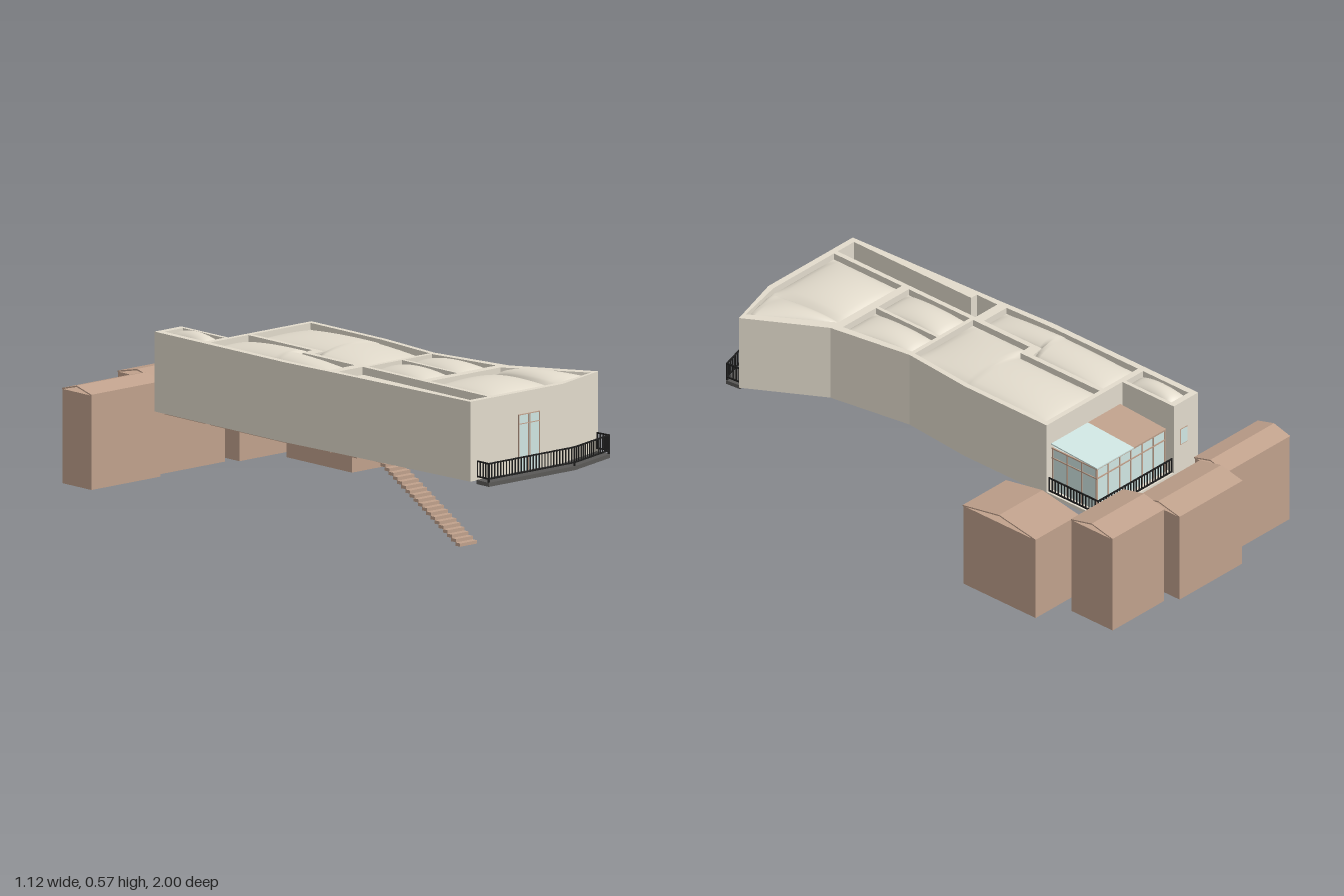
import * as THREE from 'three';

const mat = (name, color) => Object.assign(new THREE.MeshStandardMaterial({ color }), { name });

export function createModel() {
  const model = new THREE.Group();
  model.name = 'house';
  const cream = mat('cream plaster', 0xe2dbcc);
  const brown = mat('warm brown', 0xc0a18c);
  brown.side = THREE.DoubleSide;
  const glass = mat('pale glass', 0xd0e6e3);
  const grey = mat('dark grey', 0x5a5957);
  const black = mat('railing black', 0x1d1d1d);

  const add = (name, geo, material, parent = model) => {
    const m = new THREE.Mesh(geo, material);
    m.name = name;
    parent.add(m);
    return m;
  };
  const group = (name) => {
    const g = new THREE.Group();
    g.name = name;
    model.add(g);
    return g;
  };
  // box from its min and max corners
  const box = (name, a, b, material, parent) => {
    const g = new THREE.BoxGeometry(b[0] - a[0], b[1] - a[1], b[2] - a[2]);
    g.translate((a[0] + b[0]) / 2, (a[1] + b[1]) / 2, (a[2] + b[2]) / 2);
    return add(name, g, material, parent);
  };
  // plan outline [x, z] raised from y0 to y1, with optional holes; outline counter-clockwise, holes clockwise
  const toVec = (pts, clockwise) => {
    const v = pts.map(([x, z]) => new THREE.Vector2(x, -z));
    return THREE.ShapeUtils.isClockWise(v) === clockwise ? v : v.reverse();
  };
  const slab = (name, pts, y0, y1, material, holes = []) => {
    const s = new THREE.Shape(toVec(pts, false));
    s.holes = holes.map((h) => new THREE.Path(toVec(h, true)));
    const g = new THREE.ExtrudeGeometry(s, { depth: y1 - y0, bevelEnabled: false });
    g.rotateX(-Math.PI / 2);
    g.translate(0, y0, 0);
    return add(name, g, material);
  };

  // outer walls and room openings
  const outline = [[-0.31, -0.7], [-0.18, -0.7], [-0.18, -0.45], [0.224, -0.45], [0.224, -0.05], [0.198, 0.24],
    [0.253, 0.575], [0.424, 0.864], [0.19, 0.934], [-0.26, 0.934], [-0.295, 0.24], [-0.31, 0]];
  const rooms = [
    [[-0.285, -0.675], [-0.195, -0.675], [-0.195, -0.455], [-0.285, -0.455]],
    [[-0.285, -0.43], [-0.1, -0.43], [-0.1, -0.09], [-0.155, -0.08], [-0.155, 0.2], [-0.275, 0.2], [-0.285, 0]],
    [[-0.08, -0.43], [0.203, -0.43], [0.203, -0.05], [0.178, 0.233], [-0.133, 0.233], [-0.133, -0.04], [-0.08, -0.045]],
    [[-0.133, 0.25], [0.028, 0.25], [0.028, 0.546], [-0.133, 0.546]],
    [[0.042, 0.25], [0.175, 0.25], [0.218, 0.546], [0.042, 0.546]],
    [[-0.133, 0.58], [0.207, 0.58], [0.388, 0.863], [0.19, 0.91], [-0.133, 0.91]],
  ];
  const stairwell = [[-0.27, 0.24], [-0.153, 0.24], [-0.153, 0.91], [-0.24, 0.91], [-0.24, 0.34], [-0.27, 0.34]];
  slab('walls', outline, 0.263, 0.557, cream, [...rooms, stairwell]);
  rooms.forEach((r) => slab('floor', r, 0.253, 0.268, brown));
  slab('landing', [[-0.27, 0.24], [-0.153, 0.24], [-0.153, 0.39], [-0.24, 0.39], [-0.24, 0.34], [-0.27, 0.34]],
    0.253, 0.268, brown);

  // domed roof lofted over rows [z, left x, right x]
  const pillow = (rows) => {
    const pos = [], idx = [], n = 16, z0 = rows[0][0], z1 = rows[rows.length - 1][0];
    const bulge = (t) => Math.pow(Math.max(0, 1 - (2 * t - 1) ** 2), 0.6);
    const lines = [];
    for (let i = 0; i + 1 < rows.length; i++) {
      const steps = Math.max(1, Math.ceil((rows[i + 1][0] - rows[i][0]) / 0.02));
      for (let k = i ? 1 : 0; k <= steps; k++) {
        lines.push(rows[i].map((a, j) => a + (rows[i + 1][j] - a) * (k / steps)));
      }
    }
    lines.forEach(([z, xl, xr], r) => {
      for (let j = 0; j <= n; j++) {
        const u = j / n;
        pos.push(xl + (xr - xl) * u, 0.532 + 0.037 * bulge(u) * bulge((z - z0) / (z1 - z0)), z);
        if (r && j) {
          const d = r * (n + 1) + j, b = d - n - 1;
          idx.push(b - 1, d - 1, d, b - 1, d, b);
        }
      }
    });
    const g = new THREE.BufferGeometry();
    g.setAttribute('position', new THREE.Float32BufferAttribute(pos, 3));
    g.setIndex(idx);
    g.computeVertexNormals();
    add('roofDome', g, cream);
  };
  [
    [[-0.675, -0.285, -0.195], [-0.455, -0.285, -0.195]],
    [[-0.43, -0.285, -0.1], [-0.09, -0.285, -0.1], [-0.08, -0.285, -0.155], [0.2, -0.275, -0.155]],
    [[-0.43, -0.08, 0.203], [-0.045, -0.08, 0.203], [-0.04, -0.133, 0.201], [0.233, -0.133, 0.178]],
    [[0.25, -0.133, 0.028], [0.546, -0.133, 0.028]],
    [[0.25, 0.042, 0.175], [0.546, 0.042, 0.218]],
    [[0.58, -0.133, 0.182], [0.91, -0.133, 0.19]],
    [[0.58, 0.182, 0.207], [0.863, 0.189, 0.388], [0.91, 0.19, 0.2]],
  ].forEach(pillow);

  // open stair
  const stairs = group('stairs');
  const steps = 20;
  for (let i = 0; i < steps; i++) {
    const t = i / (steps - 1), z = 0.415 + 0.423 * t, y = 0.252 - 0.24 * t;
    box('tread', [-0.234, y - 0.006, z - 0.013], [-0.152, y + 0.006, z + 0.013], brown, stairs);
  }

  // railing along a plan path
  const railing = (name, path, y0, y1, gap) => {
    const g = group(name);
    for (let i = 0; i + 1 < path.length; i++) {
      const [ax, az] = path[i], [bx, bz] = path[i + 1];
      const len = Math.hypot(bx - ax, bz - az), n = Math.round(len / gap);
      [y0 + 0.003, y1 - 0.003].forEach((y) => {
        const rail = add('rail', new THREE.BoxGeometry(len, 0.005, 0.005), black, g);
        rail.position.set((ax + bx) / 2, y, (az + bz) / 2);
        rail.rotation.y = -Math.atan2(bz - az, bx - ax);
      });
      for (let k = 0; k <= n; k++) {
        const bar = add('baluster', new THREE.BoxGeometry(0.0035, y1 - y0, 0.0035), black, g);
        bar.position.set(ax + (bx - ax) * k / n, (y0 + y1) / 2, az + (bz - az) * k / n);
      }
    }
  };

  // front balcony
  slab('balconyFloor', [[-0.23, 0.934], [0.19, 0.934], [0.413, 0.867], [0.42, 0.932], [0.19, 1], [-0.23, 1]],
    0.25, 0.265, grey);
  railing('balconyRailing', [[-0.227, 0.936], [-0.227, 0.996], [0.19, 0.996], [0.416, 0.93], [0.411, 0.874]],
    0.275, 0.337, 0.0145);
  [[-0.227, 0.996], [0.19, 0.995], [0.415, 0.93]].forEach(([x, z]) =>
    box('railingPost', [x - 0.003, 0.265, z - 0.003], [x + 0.003, 0.337, z + 0.003], black));

  // front glass door
  const door = group('frontDoor');
  box('doorGlass', [-0.028, 0.266, 0.932], [0.075, 0.475, 0.936], glass, door);
  [-0.027, 0.0205, 0.0265, 0.074].forEach((x) =>
    box('doorStile', [x - 0.0015, 0.266, 0.933], [x + 0.0015, 0.475, 0.938], brown, door));
  [0.44, 0.474].forEach((y) => box('doorRail', [-0.028, y - 0.0015, 0.933], [0.075, y + 0.0015, 0.938], brown, door));

  // small back window
  box('backWindowFrame', [-0.252, 0.38, -0.702], [-0.212, 0.446, -0.698], brown);
  box('backWindowGlass', [-0.249, 0.383, -0.703], [-0.215, 0.443, -0.699], glass);

  // back terrace and glazed room
  box('terraceFloor', [-0.18, 0.263, -0.7], [0.224, 0.276, -0.45], cream);
  box('terraceUnderside', [-0.17, 0.253, -0.685], [0.208, 0.263, -0.455], brown);
  railing('terraceRailing', [[-0.177, -0.693], [0.216, -0.693], [0.216, -0.455]], 0.278, 0.337, 0.0145);
  const room = group('glazedRoom');
  box('roomGlass', [-0.165, 0.276, -0.668], [0.196, 0.45, -0.45], glass, room);
  for (let i = 0; i <= 6; i++) {
    const x = -0.165 + 0.361 * i / 6;
    box('backMullion', [x - 0.0025, 0.276, -0.671], [x + 0.0025, 0.452, -0.666], brown, room);
  }
  for (let i = 0; i <= 3; i++) {
    const z = -0.668 + 0.212 * i / 3;
    [-0.165, 0.196].forEach((x) =>
      box('sideMullion', [x - 0.003, 0.276, z - 0.0025], [x + 0.003, 0.452, z + 0.0025], brown, room));
  }
  [0.41, 0.45].forEach((y) => {
    box('backTransom', [-0.168, y - 0.0025, -0.671], [0.199, y + 0.0025, -0.666], brown, room);
    [-0.165, 0.196].forEach((x) =>
      box('sideTransom', [x - 0.003, y - 0.0025, -0.671], [x + 0.003, y + 0.0025, -0.45], brown, room));
  });
  // sloping roof, half solid and half glass
  [[-0.168, 0.004, brown, 'solidRoof'], [0.004, 0.2, glass, 'glassRoof']].forEach(([x0, x1, m, name]) => {
    const plate = add(name, new THREE.BoxGeometry(x1 - x0, 0.005, 0.224), m, room);
    plate.position.set((x0 + x1) / 2, 0.461, -0.562);
    plate.rotation.x = -0.06;
  });

  // small gabled houses: x0, x1, z0, z1, wall height, eave, ridge
  [
    [-0.56, -0.22, -0.92, -0.762, 0.347, 0.351, 0.372],
    [-0.218, 0.118, -1.0, -0.792, 0.347, 0.351, 0.374],
    [0.158, 0.437, -0.965, -0.762, 0.383, 0.388, 0.411],
    [0.329, 0.56, -0.703, -0.348, 0.328, 0.332, 0.363],
  ].forEach(([x0, x1, z0, z1, wall, eave, ridge]) => {
    const g = group('smallHouse');
    box('houseWalls', [x0 + 0.002, 0, z0 + 0.002], [x1 - 0.002, wall, z1 - 0.002], brown, g);
    const mid = (z0 + z1) / 2, t = 0.005;
    const s = new THREE.Shape([[-z0, eave], [-mid, ridge], [-z1, eave], [-z1, eave - t], [-mid, ridge - t],
      [-z0, eave - t]].map(([a, b]) => new THREE.Vector2(a, b)));
    const roof = new THREE.ExtrudeGeometry(s, { depth: x1 - x0, bevelEnabled: false });
    roof.rotateY(Math.PI / 2);
    roof.translate(x0, 0, 0);
    add('houseRoof', roof, brown, g);
  });
  return model;
}
